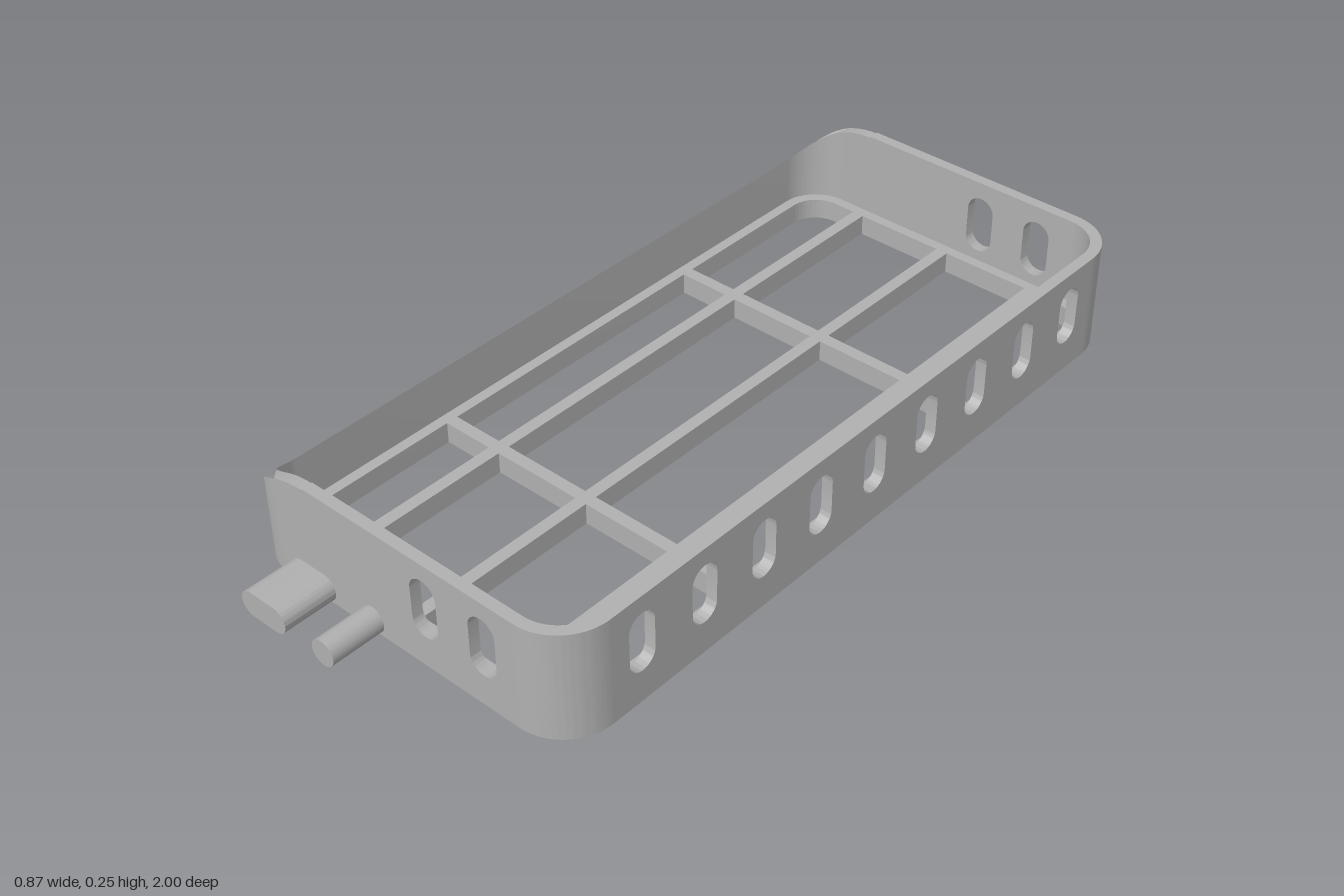
import * as THREE from 'three';
import { toCreasedNormals } from 'three/addons/utils/BufferGeometryUtils.js';

// Overall half sizes, wall height and thickness, corner radius
const W = 0.437, D = 0.875, H = 0.253, T = 0.026, R = 0.12;
const LEDGE = 0.025, FLOOR = 0.05, BAR = 0.029;
const SX = W - R, SZ = D - R;
// Round cut that lowers the wall on the -x side
const CUT = { x: -0.24, y: 0.035, r: 0.215 };
const cutHeight = x => CUT.y + Math.sqrt(CUT.r ** 2 - (x - CUT.x) ** 2);

function extrude(shape, depth) {
  const geo = new THREE.ExtrudeGeometry(shape, { depth, bevelEnabled: false, curveSegments: 20 });
  return toCreasedNormals(geo, 0.5);
}

// Extrude a plan-view outline upward
const extrudeUp = (shape, height) => extrude(shape, height).rotateX(-Math.PI / 2);

// Upright stadium or lying stadium, centred on (cx, cy)
function stadium(path, cx, cy, w, h) {
  const r = Math.min(w, h) / 2, dx = w / 2 - r, dy = h / 2 - r;
  if (dy > 0) {
    path.absarc(cx, cy + dy, r, 0, Math.PI);
    path.absarc(cx, cy - dy, r, Math.PI, Math.PI * 2);
  } else {
    path.absarc(cx + dx, cy, r, -Math.PI / 2, Math.PI / 2);
    path.absarc(cx - dx, cy, r, Math.PI / 2, Math.PI * 1.5);
  }
  path.closePath();
  return path;
}

const addSlots = (shape, centres) => centres.forEach(c =>
  shape.holes.push(stadium(new THREE.Path(), c, 0.144, 0.068, 0.138)));

function roundedRect(path, hw, hd, r) {
  const q = Math.PI / 2;
  path.absarc(hw - r, hd - r, r, 0, q);
  path.absarc(-hw + r, hd - r, r, q, 2 * q);
  path.absarc(-hw + r, -hd + r, r, 2 * q, 3 * q);
  path.absarc(hw - r, -hd + r, r, 3 * q, 4 * q);
  path.closePath();
  return path;
}

export function createModel() {
  const model = new THREE.Group();
  const grey = new THREE.MeshStandardMaterial({ color: 0xb0b0b0 });
  grey.name = 'grey';
  const add = (name, geo, x = 0, y = 0, z = 0) => {
    const mesh = new THREE.Mesh(geo, grey);
    mesh.name = name;
    mesh.position.set(x, y, z);
    model.add(mesh);
  };

  // End walls: curved cut at one side, two slots at the other
  const end = new THREE.Shape();
  end.moveTo(-SX, 0);
  end.lineTo(SX, 0);
  end.lineTo(SX, H);
  end.lineTo(CUT.x, H);
  end.absarc(CUT.x, CUT.y, CUT.r, Math.PI / 2, Math.acos((-SX - CUT.x) / CUT.r));
  end.closePath();
  addSlots(end, [0.081, 0.233]);
  add('frontWall', extrude(end, T), 0, 0, D - T);
  add('backWall', extrude(end, T), 0, 0, -D);

  // Long slotted wall
  const side = new THREE.Shape();
  side.moveTo(-SZ, 0);
  side.lineTo(SZ, 0);
  side.lineTo(SZ, H);
  side.lineTo(-SZ, H);
  side.closePath();
  addSlots(side, Array.from({ length: 9 }, (_, i) => (i - 4) * 0.169));
  add('slottedWall', extrude(side, T).rotateY(Math.PI / 2), W - T);

  // Full-height corners beside the slotted wall
  for (const s of [1, -1]) {
    const a = s > 0 ? 0 : -Math.PI / 2;
    const corner = new THREE.Shape();
    corner.absarc(SX, s * SZ, R, a, a + Math.PI / 2);
    corner.absarc(SX, s * SZ, R - T, a + Math.PI / 2, a, true);
    corner.closePath();
    add('tallCorner', extrudeUp(corner, H));
  }

  // Low wall with its two corners, the top following the round cut
  const low = new THREE.Shape();
  low.absarc(-SX, SZ, R, Math.PI / 2, Math.PI);
  low.absarc(-SX, -SZ, R, Math.PI, Math.PI * 1.5);
  low.absarc(-SX, -SZ, R - T, Math.PI * 1.5, Math.PI, true);
  low.absarc(-SX, SZ, R - T, Math.PI, Math.PI / 2, true);
  low.closePath();
  const lowGeo = extrudeUp(low, H);
  const p = lowGeo.attributes.position;
  for (let i = 0; i < p.count; i++) {
    if (p.getY(i) > H / 2) p.setY(i, cutHeight(p.getX(i)));
  }
  add('lowWall', toCreasedNormals(lowGeo, 0.5));

  // Ledge around the foot of the walls
  const ledge = roundedRect(new THREE.Shape(), W - T, D - T, R - T);
  ledge.holes.push(roundedRect(new THREE.Path(), W - T - LEDGE, D - T - LEDGE, R - T - LEDGE));
  add('floorLedge', extrudeUp(ledge, FLOOR));

  // Open floor grid
  const lx = W - T - LEDGE, lz = D - T - LEDGE;
  for (const x of [-0.247, 0, 0.247])
    add('longBar', new THREE.BoxGeometry(BAR, FLOOR, lz * 2), x, FLOOR / 2, 0);
  for (const z of [-0.371, 0.371])
    add('crossBar', new THREE.BoxGeometry(lx * 2, FLOOR, BAR), 0, FLOOR / 2, z);

  // Flat and round pegs on both ends
  const pegLength = 1 - D + 0.01;
  for (const z of [D - 0.01, -1]) {
    add('flatPeg', extrude(stadium(new THREE.Shape(), -0.239, 0.03, 0.126, 0.06), pegLength), 0, 0, z);
    add('roundPeg', new THREE.CylinderGeometry(0.03, 0.03, pegLength, 32).rotateX(Math.PI / 2),
      -0.07, 0.03, z + pegLength / 2);
  }
  return model;
}
